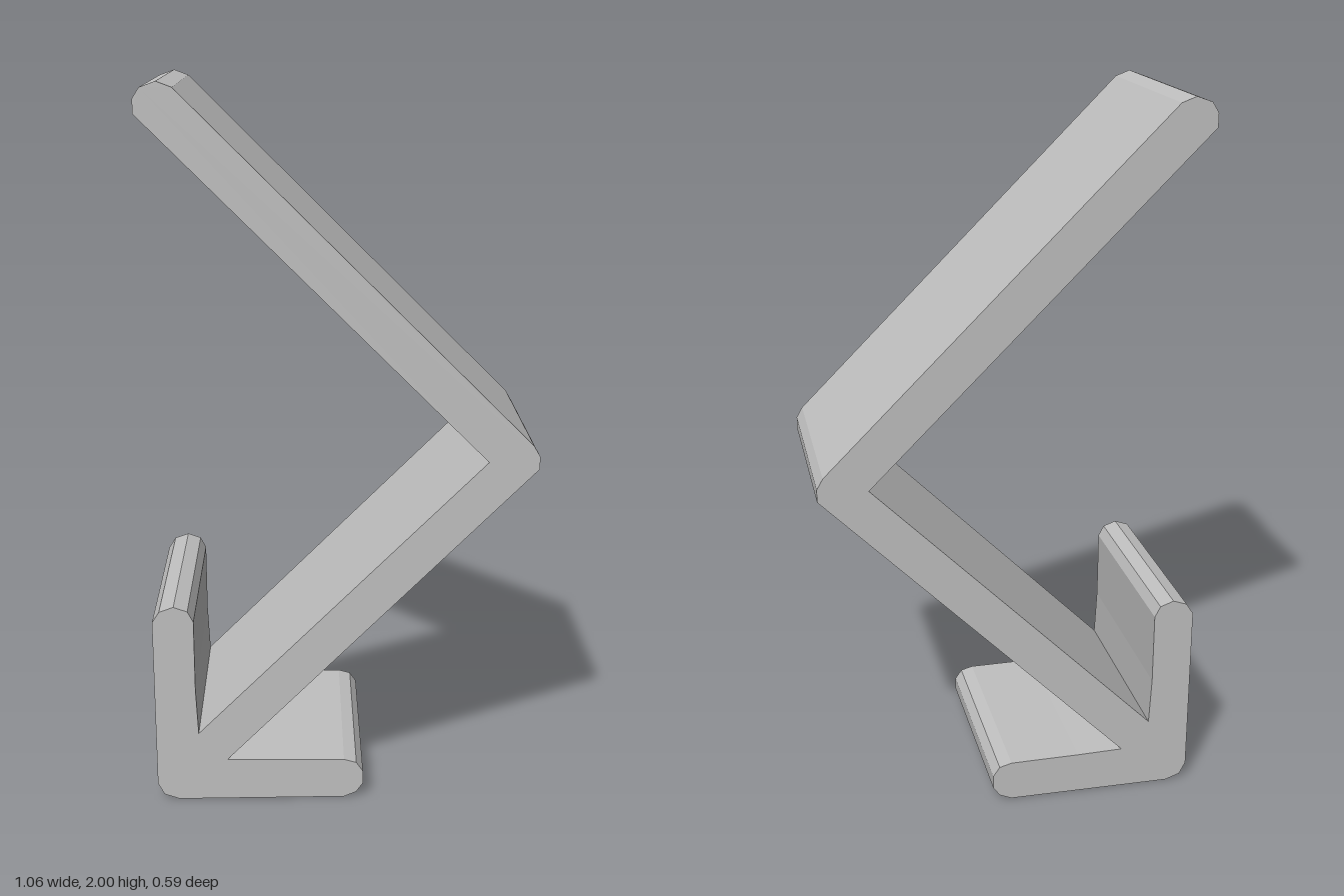
import * as THREE from 'three';

const DEPTH = 0.586;

// Side profile of the bent stand, counter-clockwise from the bottom edge
const PROFILE = [
  // foot with rounded tip
  [-0.47, 0], [0, 0], [0.035, 0.015], [0.054, 0.042], [0.054, 0.08], [0.035, 0.108], [0, 0.118],
  [-0.2, 0.12], [-0.33, 0.123],
  // outer bend of the leaning arms
  [0.527, 0.98], [0.527, 1.015], [0.51, 1.045],
  // rounded top end
  [-0.43, 1.985], [-0.47, 2], [-0.512, 1.985], [-0.53, 1.957], [-0.53, 1.92], [-0.51, 1.9],
  // inner bend
  [0.39, 1], [-0.41, 0.205],
  // front lip with rounded top
  [-0.416, 0.34], [-0.416, 0.545], [-0.432, 0.576], [-0.47, 0.59], [-0.51, 0.576], [-0.53, 0.545],
  // rounded heel
  [-0.53, 0.05], [-0.512, 0.015],
];

export function createModel() {
  const group = new THREE.Group();
  group.name = 'stand';
  const grey = new THREE.MeshStandardMaterial({ color: 0xc0c0c0 });
  grey.name = 'light grey';

  const shape = new THREE.Shape(PROFILE.map(([x, y]) => new THREE.Vector2(x, y)));
  const geometry = new THREE.ExtrudeGeometry(shape, { depth: DEPTH, bevelEnabled: false });
  geometry.translate(0, 0, -DEPTH / 2);

  const body = new THREE.Mesh(geometry, grey);
  body.name = 'standBody';
  group.add(body);
  return group;
}
